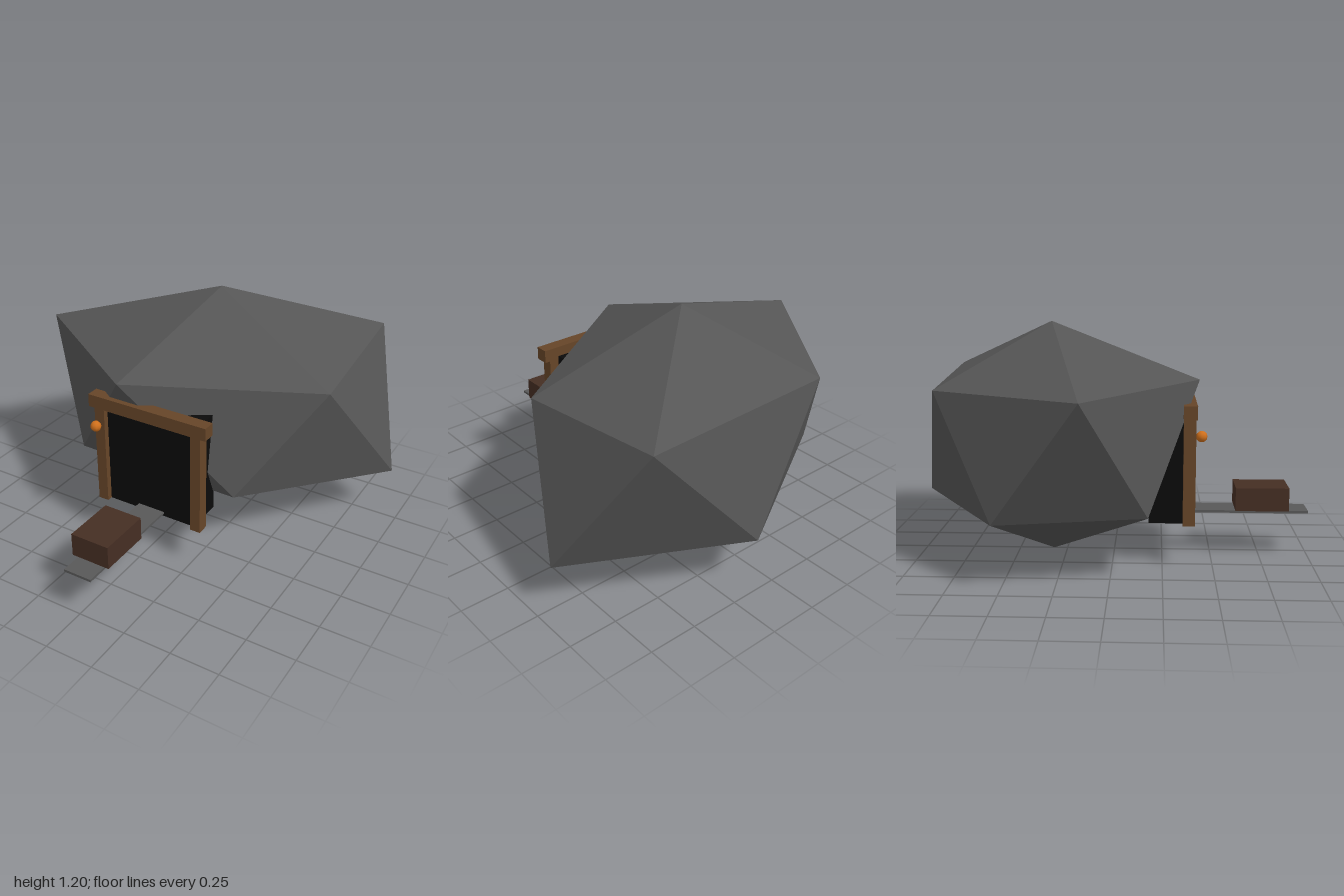
import * as THREE from 'three';

const material = (name, color, flatShading = false) => {
  const m = new THREE.MeshStandardMaterial({ color, flatShading });
  m.name = name;
  return m;
};

export function createModel() {
  const rock = material('rock grey', 0x555555, true);
  const wood = material('timber brown', 0x664528);
  const cartWood = material('cart brown', 0x452e23);
  const dark = material('tunnel black', 0x0a0a0a);
  const iron = material('rail grey', 0x585858);
  const glow = material('lantern orange', 0xd0701c);

  const group = new THREE.Group();
  group.name = 'mineEntrance';

  const add = (name, geometry, mat, x = 0, y = 0, z = 0) => {
    const mesh = new THREE.Mesh(geometry, mat);
    mesh.name = name;
    mesh.position.set(x, y, z);
    group.add(mesh);
    return mesh;
  };
  // Box given by its extents along each axis
  const box = (name, mat, [x0, x1], [y0, y1], [z0, z1]) =>
    add(name, new THREE.BoxGeometry(x1 - x0, y1 - y0, z1 - z0), mat,
      (x0 + x1) / 2, (y0 + y1) / 2, (z0 + z1) / 2);

  // Boulder: an uneven icosahedron of two poles and two staggered rings
  const top = [0, 1.2, -0.32];
  const bottom = [0, 0, -0.32];
  const upper = [[-0.94, 0.91, -0.11], [-0.15, 0.92, 0.43], [0.72, 0.86, -0.11],
    [0.68, 0.92, -0.92], [-0.4, 0.89, -0.85]];
  const lower = [[-0.57, 0.32, 0.18], [0.37, 0.315, 0.19], [0.94, 0.265, -0.535],
    [0.12, 0.29, -1], [-0.72, 0.32, -0.53]];
  const points = [];
  for (let i = 0; i < 5; i++) {
    const j = (i + 1) % 5;
    points.push(
      ...top, ...upper[i], ...upper[j],
      ...upper[i], ...lower[i], ...upper[j],
      ...lower[i], ...lower[j], ...upper[j],
      ...bottom, ...lower[j], ...lower[i]);
  }
  const boulder = new THREE.BufferGeometry();
  boulder.setAttribute('position', new THREE.Float32BufferAttribute(points, 3));
  boulder.computeVertexNormals();
  add('boulder', boulder, rock);

  // Tunnel mouth and its timber frame
  box('tunnelMouth', dark, [-0.25, 0.25], [0.21, 0.76], [0.18, 0.38]);
  for (const [name, side] of [['leftPost', 1], ['rightPost', -1]]) {
    box(name, wood, [side * 0.275 - 0.028, side * 0.275 + 0.028], [0.21, 0.75], [0.35, 0.41]);
  }
  box('lintel', wood, [-0.333, 0.333], [0.745, 0.812], [0.348, 0.415]);

  // Lantern on the right post
  add('lantern', new THREE.SphereGeometry(0.028, 8, 6), glow, -0.28, 0.657, 0.437);

  // Track and ore cart
  box('track', iron, [-0.075, 0.075], [0.221, 0.234], [0.3, 1]);
  box('cart', cartWood, [-0.103, 0.103], [0.238, 0.358], [0.625, 0.897]);

  return group;
}
